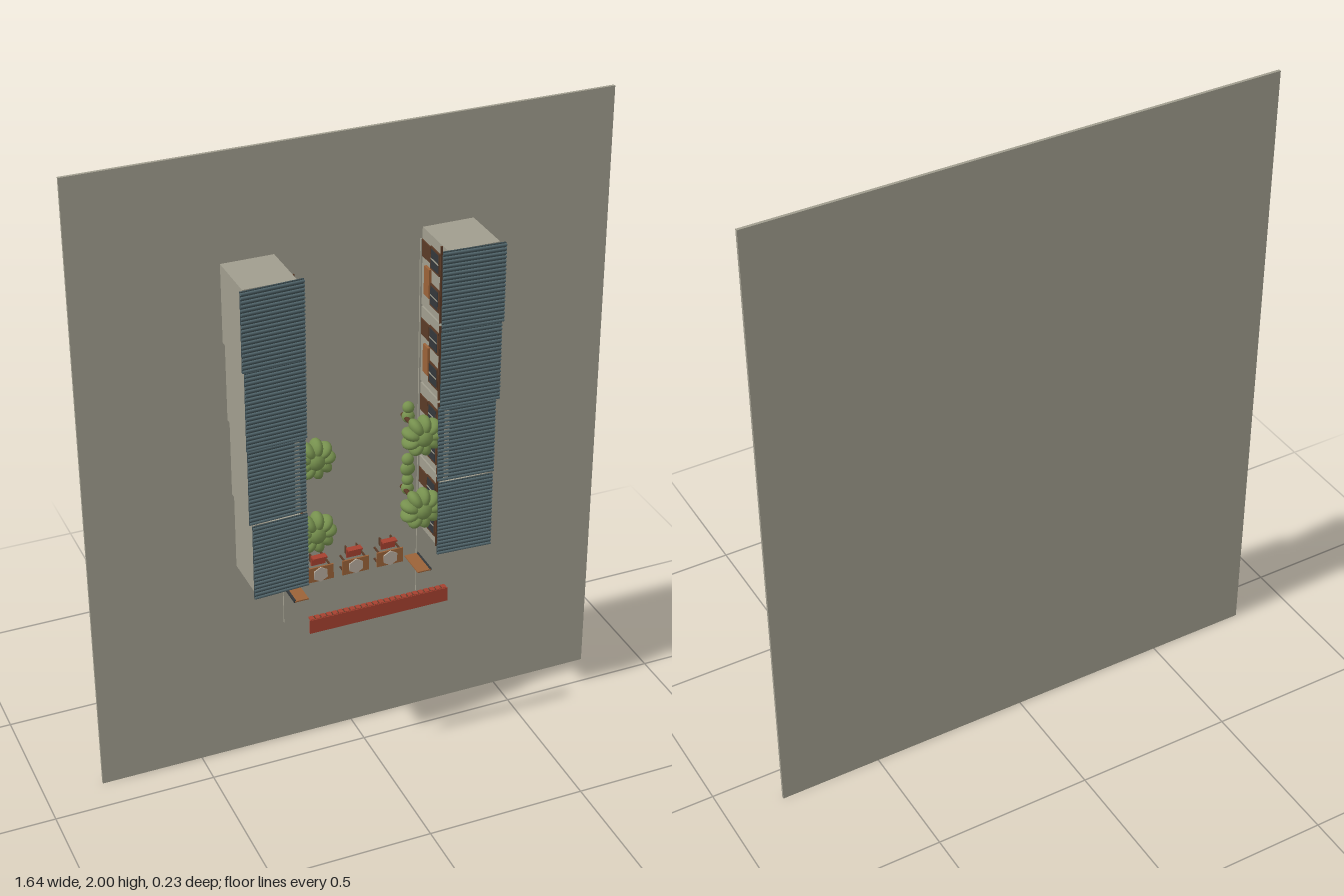
import * as THREE from 'three';

const mat = (name, color) => {
  const m = new THREE.MeshStandardMaterial({ color });
  m.name = name;
  return m;
};

export function createModel() {
  const stone = mat('stone', 0xa09d8e);
  const slate = mat('slate', 0x50646a);
  const darkSlate = mat('darkSlate', 0x3a494d);
  const wood = mat('wood', 0x9a6238);
  const darkWood = mat('darkWood', 0x5a3a26);
  const red = mat('red', 0xa5402f);
  const leaf = mat('leaf', 0x76904e);
  const cloth = mat('cloth', 0xb5aa9c);
  const dark = mat('darkMetal', 0x33373a);

  const root = new THREE.Group();
  root.name = 'streetModel';
  const group = (name, parent = root) => {
    const g = new THREE.Group();
    g.name = name;
    parent.add(g);
    return g;
  };
  const add = (parent, name, geo, m, x, y, z) => {
    const mesh = new THREE.Mesh(geo, m);
    mesh.name = name;
    mesh.position.set(x, y, z);
    parent.add(mesh);
    return mesh;
  };
  const box = (parent, name, m, w, h, d, x, y, z) =>
    add(parent, name, new THREE.BoxGeometry(w, h, d), m, x, y, z);

  // Upright ground slab; the street rises from it towards +z
  box(root, 'ground', stone, 1.64, 2, 0.009, 0, 1, -0.109);

  // Two rows of four houses facing each other
  const outer = [0.366, 0.372, 0.378, 0.384];
  const lift = [0.003, -0.005, 0.006, 0.006];
  const tubeGeo = new THREE.CylinderGeometry(0.0042, 0.0042, 1, 8);
  for (const s of [-1, 1]) {
    const row = group(s < 0 ? 'rightHouseRow' : 'leftHouseRow');
    for (let i = 0; i < 4; i++) {
      const house = group('house', row);
      const y = 0.798 + i * 0.25;
      const inner = 0.225, top = 0.066 + lift[i] * 0.3;
      const w = outer[i] - inner, cx = s * (outer[i] + inner) / 2;
      box(house, 'walls', stone, w, 0.243, top + 0.105, cx, y, (top - 0.105) / 2);

      // Roof tilted up to the outside, with ribs running down the slope
      const roof = group('roof', house);
      const rw = outer[i] + 0.012 - 0.207;
      roof.position.set(s * (outer[i] + 0.012 + 0.207) / 2, y, 0.07 + lift[i]);
      roof.rotation.y = -s * 0.055;
      box(roof, 'roofSlab', darkSlate, rw, 0.248, 0.005, 0, 0, 0);
      for (let k = 0; k < 20; k++) {
        const rib = add(roof, 'roofRib', tubeGeo, slate, 0, -0.118 + k * 0.01242, 0.004);
        rib.scale.y = rw;
        rib.rotation.z = Math.PI / 2;
      }

      // Shop front: windows, cross bars, wooden shutter and door
      const fx = s * 0.224;
      for (const dy of [-0.06, 0.055]) {
        box(house, 'windowFrame', darkWood, 0.006, 0.07, 0.062, fx, y + dy, -0.012);
        box(house, 'windowPane', dark, 0.008, 0.058, 0.05, fx, y + dy, -0.012);
        box(house, 'windowBar', stone, 0.01, 0.004, 0.05, fx, y + dy, -0.012);
      }
      box(house, 'floorBeam', darkWood, 0.01, 0.24, 0.005, fx, y, 0.03);
      box(house, 'shopSign', wood, 0.014, 0.09, 0.034, fx, y - 0.03, -0.058);
      box(house, 'door', darkWood, 0.006, 0.05, 0.06, fx, y + 0.06, -0.075);
    }
    // Kerb along the shop fronts
    box(row, 'kerb', stone, 0.004, 1.2, 0.006, s * 0.219, 1.035, -0.1015);
  }

  // Trees: lobed crowns on trunks, with shrubs at the foot
  const ball = new THREE.SphereGeometry(1, 16, 12);
  const blob = (parent, name, x, y, z, a, b, c, turn = 0) => {
    const m = add(parent, name, ball, leaf, x, y, z);
    m.scale.set(a, b, c);
    m.rotation.z = turn;
  };
  for (const s of [-1, 1]) for (const ty of [0.825, 1.073]) {
    const tree = group('tree');
    const x = s * 0.169, r = ty < 1 ? 0.066 : 0.064;
    for (let k = 0; k < 9; k++) {
      const a = k * Math.PI * 2 / 9;
      blob(tree, 'crownLobe', x + Math.cos(a) * r * 0.56, ty + Math.sin(a) * r * 0.56, 0.032,
        r * 0.46, r * 0.29, 0.032, a);
    }
    blob(tree, 'crownTop', x, ty, 0.038, r * 0.5, r * 0.5, 0.032);
    const trunk = add(tree, 'trunk', new THREE.CylinderGeometry(0.005, 0.008, 0.13, 8), darkWood, x, ty, -0.04);
    trunk.rotation.x = Math.PI / 2;
    const sx = s * 0.179;
    for (const [dy, q] of [[0, 0.02], [0.03, 0.018], [0.068, 0.023], [0.1, 0.019]])
      if (ty < 1 || dy < 0.04) blob(tree, 'shrub', sx, ty + dy, -0.088, q, q, 0.018);
  }

  // Three market tables, each with a red seat behind
  for (const x of [-0.115, 0, 0.113]) {
    const stall = group('table');
    box(stall, 'tableTop', wood, 0.086, 0.05, 0.005, x, 0.607, -0.066);
    for (const dx of [-0.034, 0.034]) for (const dy of [-0.02, 0.02])
      box(stall, 'tableLeg', darkWood, 0.005, 0.005, 0.04, x + dx, 0.607 + dy, -0.086);
    box(stall, 'tableRail', darkWood, 0.07, 0.004, 0.004, x, 0.587, -0.085);
    const mat1 = add(stall, 'tableCloth', new THREE.CylinderGeometry(0.025, 0.025, 0.006, 6), cloth, x, 0.607, -0.062);
    mat1.rotation.x = Math.PI / 2;
    box(stall, 'seat', red, 0.046, 0.032, 0.006, x, 0.647, -0.082);
    box(stall, 'seatBack', red, 0.046, 0.005, 0.022, x, 0.662, -0.073);
    for (const dx of [-0.018, 0.018])
      box(stall, 'seatLeg', darkWood, 0.004, 0.026, 0.02, x + dx, 0.647, -0.095);
  }

  // Street entrance: raised red canopy and two wooden side boards
  const gate = group('entrance');
  box(gate, 'canopy', red, 0.444, 0.046, 0.004, 0, 0.557, 0.115);
  box(gate, 'canopyEdge', darkWood, 0.436, 0.003, 0.016, 0, 0.5785, 0.106);
  for (let k = 0; k < 24; k++)
    box(gate, 'canopyTile', red, 0.014, 0.004, 0.018, -0.2125 + k * 0.01848, 0.58, 0.106);
  for (const s of [-1, 1]) {
    box(gate, 'sideBoard', wood, 0.044, 0.004, 0.1, s * 0.2, 0.572, -0.052);
    box(gate, 'boardHinge', dark, 0.006, 0.008, 0.1, s * 0.221, 0.572, -0.054);
  }

  // Parked bicycle
  const bike = group('bicycle');
  for (const dx of [-0.015, 0.015]) {
    const wheel = add(bike, 'wheel', new THREE.TorusGeometry(0.013, 0.0015, 6, 20), dark, -0.135 + dx, 0.79, -0.09);
    wheel.rotation.x = Math.PI / 2;
  }
  box(bike, 'frame', dark, 0.034, 0.003, 0.003, -0.135, 0.79, -0.077);
  box(bike, 'handlebar', dark, 0.003, 0.02, 0.003, -0.12, 0.79, -0.068);
  box(bike, 'handlebarStem', dark, 0.003, 0.003, 0.022, -0.12, 0.79, -0.079);
  box(bike, 'saddle', darkWood, 0.01, 0.006, 0.004, -0.147, 0.79, -0.07);

  return root;
}
